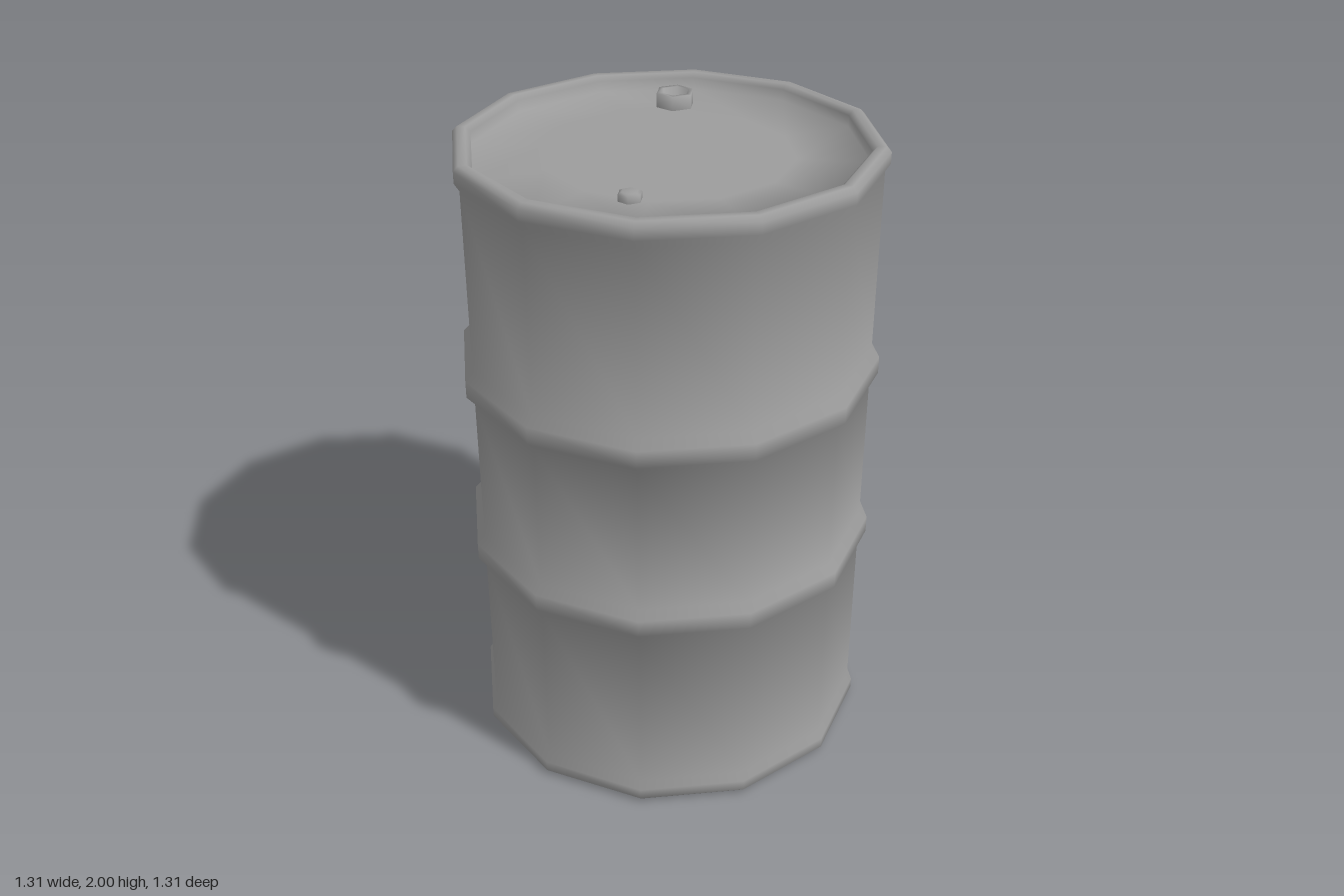
import * as THREE from 'three';

const LID_Y = 1.95;
const material = new THREE.MeshStandardMaterial({ color: 0x9c9c9c });

// Turned part whose normals average neighbouring faces equally, for soft edges
function turned(name, profile, sides) {
  const points = profile.map(([r, y]) => new THREE.Vector2(r, y));
  const geometry = new THREE.LatheGeometry(points, sides);
  const faceNormals = points.slice(1).map((p, i) =>
    new THREE.Vector2(p.y - points[i].y, points[i].x - p.x).normalize());
  const normal = geometry.attributes.normal;
  for (let i = 0; i <= sides; i++) {
    const angle = (i / sides) * Math.PI * 2;
    points.forEach((_, j) => {
      const n = new THREE.Vector2();
      if (j > 0) n.add(faceNormals[j - 1]);
      if (j < faceNormals.length) n.add(faceNormals[j]);
      n.normalize();
      normal.setXYZ(i * points.length + j, n.x * Math.sin(angle), n.y, n.x * Math.cos(angle));
    });
  }
  const mesh = new THREE.Mesh(geometry, material);
  mesh.name = name;
  return mesh;
}

// Hexagonal bung on the lid, corners pointing along x
function makeBung(name, x, z, profile) {
  const bung = turned(name, profile, 6);
  bung.rotation.y = Math.PI / 2;
  bung.position.set(x, LID_Y, z);
  return bung;
}

export function createModel() {
  const group = new THREE.Group();
  group.name = 'drum';

  // Lower half of the drum profile: recessed base, rolled rim, wall, hoop
  const half = [
    [0, 2 - LID_Y], [0.38, 2 - LID_Y], [0.59, 2 - LID_Y],
    [0.59, 0.015], [0.605, 0], [0.63, 0], [0.645, 0.015], [0.645, 0.05], [0.63, 0.075],
    [0.63, 0.65], [0.655, 0.677], [0.655, 0.732], [0.63, 0.757],
  ];
  // Upper half: the same shape mirrored about mid height
  const upper = half.map(([r, y]) => [r, 2 - y]).reverse();
  group.add(turned('drumShell', [...half, ...upper], 12));

  // Filler bung with a socket, and a small chamfered vent bung
  group.add(makeBung('fillerBung', -0.243, -0.347,
    [[0.062, 0], [0.062, 0.045], [0.046, 0.045], [0.044, 0.01], [0, 0.01]]));
  group.add(makeBung('ventBung', 0.138, 0.347,
    [[0.036, 0], [0.036, 0.02], [0.025, 0.026], [0, 0.026]]));
  return group;
}
